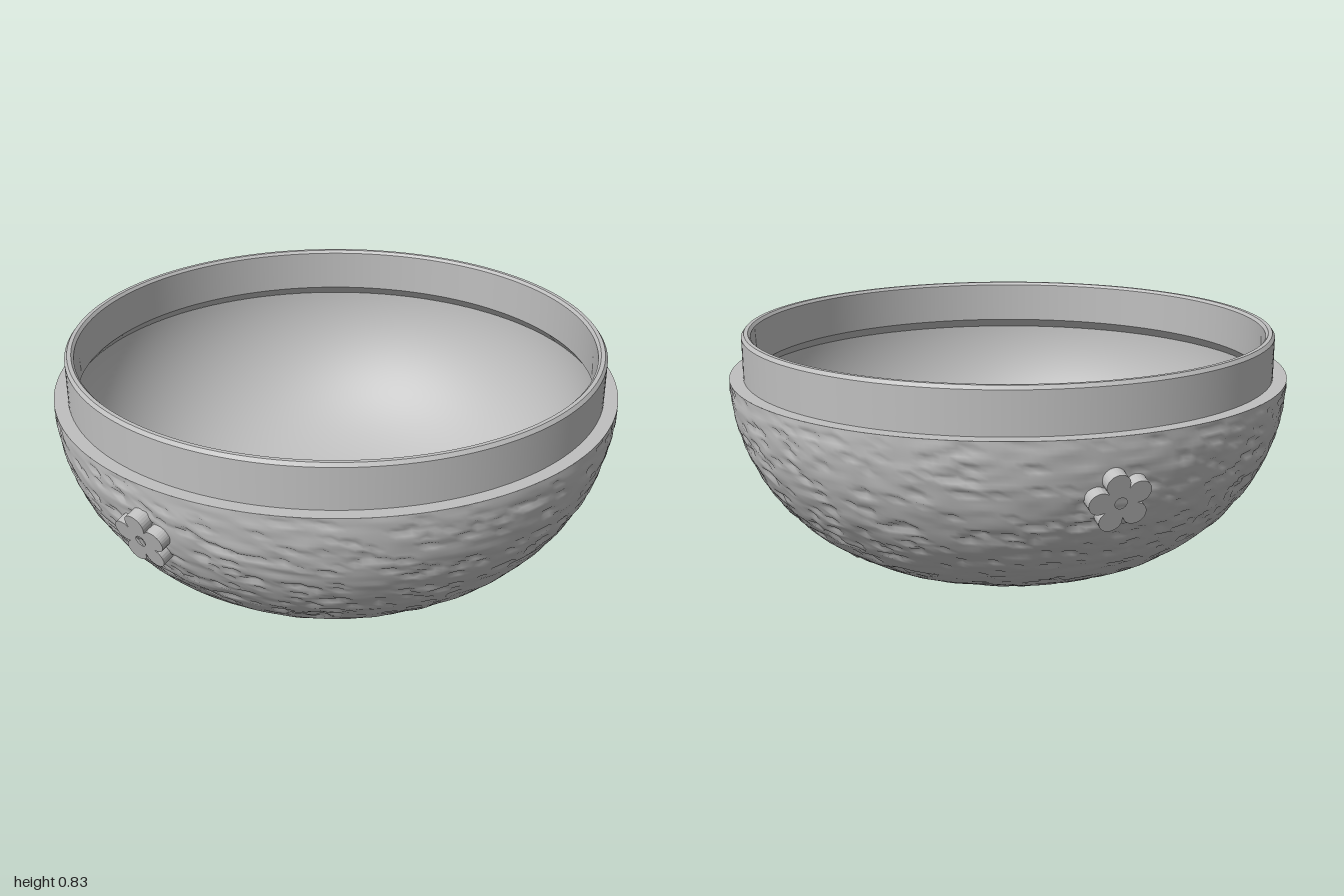
import * as THREE from 'three';
import { mergeVertices } from 'three/addons/utils/BufferGeometryUtils.js';

const V2 = (p) => new THREE.Vector2(p[0], p[1]);

// Repeatable lattice noise in the range -1..1
function hash(x, y, z) {
  const s = Math.sin(x * 127.1 + y * 311.7 + z * 74.7) * 43758.5453;
  return (s - Math.floor(s)) * 2 - 1;
}
function noise(x, y, z) {
  const ix = Math.floor(x), iy = Math.floor(y), iz = Math.floor(z);
  const fade = (t) => t * t * (3 - 2 * t);
  const u = fade(x - ix), v = fade(y - iy), w = fade(z - iz);
  let sum = 0;
  for (let i = 0; i < 8; i++) {
    const a = i & 1, b = (i >> 1) & 1, c = i >> 2;
    sum += hash(ix + a, iy + b, iz + c) * (a ? u : 1 - u) * (b ? v : 1 - v) * (c ? w : 1 - w);
  }
  return sum;
}

// The wall is a quarter circle swept around a flat foot
const RIM_Y = 0.675, FOOT = 0.318, ROUND = 0.67;
function arc(radius, from, to, steps) {
  const points = [];
  for (let i = 0; i <= steps; i++) {
    const a = from + ((to - from) * i) / steps;
    points.push(new THREE.Vector2(FOOT + radius * Math.sin(a), RIM_Y - radius * Math.cos(a)));
  }
  return points;
}

// Hammered outer wall: a lathe whose vertices are pushed along their normals
function roughShell() {
  const foot = [0, 0.06, 0.12, 0.18, 0.23, 0.28].map((r) => V2([r, RIM_Y - ROUND]));
  let geo = new THREE.LatheGeometry([...foot, ...arc(ROUND, 0, Math.PI / 2, 84)], 256);
  const pos = geo.attributes.position, nor = geo.attributes.normal;
  for (let i = 0; i < pos.count; i++) {
    const x = pos.getX(i), y = pos.getY(i), z = pos.getZ(i);
    const ripple = noise(x * 13, y * 42 + x * 4, z * 13);
    const dent = noise(x * 24 + 40, y * 60, z * 24 + 9);
    let d = 0.0038 * ripple - (dent > 0.45 ? 0.008 : 0);
    d *= Math.min(1, (RIM_Y - y) / 0.03) * Math.min(1, Math.hypot(x, z) / 0.35);
    pos.setXYZ(i, x + nor.getX(i) * d, Math.max(0, y + nor.getY(i) * d), z + nor.getZ(i) * d);
  }
  geo.deleteAttribute('uv');
  geo.deleteAttribute('normal');
  geo = mergeVertices(geo, 1e-5);
  geo.computeVertexNormals();
  return geo;
}

// Five-petalled flower with a small hole, facing +z
function flowerGeometry() {
  const outline = [];
  for (let i = 0; i < 80; i++) {
    const a = (i / 80) * Math.PI * 2;
    const r = 0.056 + 0.05 * Math.pow(Math.abs(Math.cos(2.5 * a)), 0.6);
    outline.push(new THREE.Vector2(Math.sin(a) * r, Math.cos(a) * r));
  }
  const shape = new THREE.Shape(outline);
  shape.holes.push(new THREE.Path().absarc(0, 0, 0.02, 0, Math.PI * 2, true));
  const geo = new THREE.ExtrudeGeometry(shape, { depth: 0.052, bevelEnabled: false, curveSegments: 16 });
  return geo.translate(0, 0, -0.02);
}

export function createModel() {
  const group = new THREE.Group();
  const bowl = new THREE.Group();
  bowl.name = 'bowl';
  bowl.position.set(0.004, 0, 0.008);
  group.add(bowl);
  const grey = new THREE.MeshStandardMaterial({ color: 0xbfbfbf });
  grey.name = 'grey';

  const add = (name, geo) => {
    const mesh = new THREE.Mesh(geo, grey);
    mesh.name = name;
    bowl.add(mesh);
    return mesh;
  };
  const lathe = (name, points) => add(name, new THREE.LatheGeometry(points, 160));

  add('outerShell', roughShell());

  // Shoulder, collar and lip, each its own lathe so the edges stay sharp
  const collar = [
    ['shoulder', [FOOT + ROUND, RIM_Y], [0.94, RIM_Y]],
    ['collarOutside', [0.94, RIM_Y], [0.94, 0.818]],
    ['lipOuterBevel', [0.94, 0.818], [0.931, 0.83]],
    ['lipTop', [0.931, 0.83], [0.917, 0.83]],
    ['lipInnerBevel', [0.917, 0.83], [0.908, 0.82]],
    ['collarInside', [0.908, 0.82], [0.908, 0.672]],
    ['undercut', [0.908, 0.672], [0.937, 0.638]],
  ];
  for (const [name, a, b] of collar) lathe(name, [V2(a), V2(b)]);

  // Smooth cavity whose floor rises gently to a low knob in the middle
  const floor = new THREE.SplineCurve([
    [FOOT, 0.055], [0.24, 0.06], [0.16, 0.066], [0.115, 0.07], [0.08, 0.08], [0.04, 0.085], [0, 0.086],
  ].map(V2)).getPoints(36);
  floor[floor.length - 1].x = 0;
  lathe('cavity', [...arc(0.62, 1.511, 0.02, 48), ...floor]);

  // Flowers set flat against the curved wall: [name, azimuth, height, spin]
  const flower = flowerGeometry();
  const spots = [
    ['frontFlower', Math.atan2(-0.65, 0.74), 0.48, 0.05],
    ['sideFlower', Math.atan2(-0.98, -0.13), 0.45, 0.5],
    ['backFlower', Math.atan2(-0.11, -0.99), 0.475, 0.25],
  ];
  for (const [name, azimuth, y, spin] of spots) {
    const tilt = Math.asin((RIM_Y - y) / ROUND);
    const r = FOOT + ROUND * Math.cos(tilt);
    const mesh = add(name, flower);
    mesh.position.set(Math.sin(azimuth) * r, y, Math.cos(azimuth) * r);
    mesh.rotation.set(tilt, azimuth, spin, 'YXZ');
  }
  return group;
}
